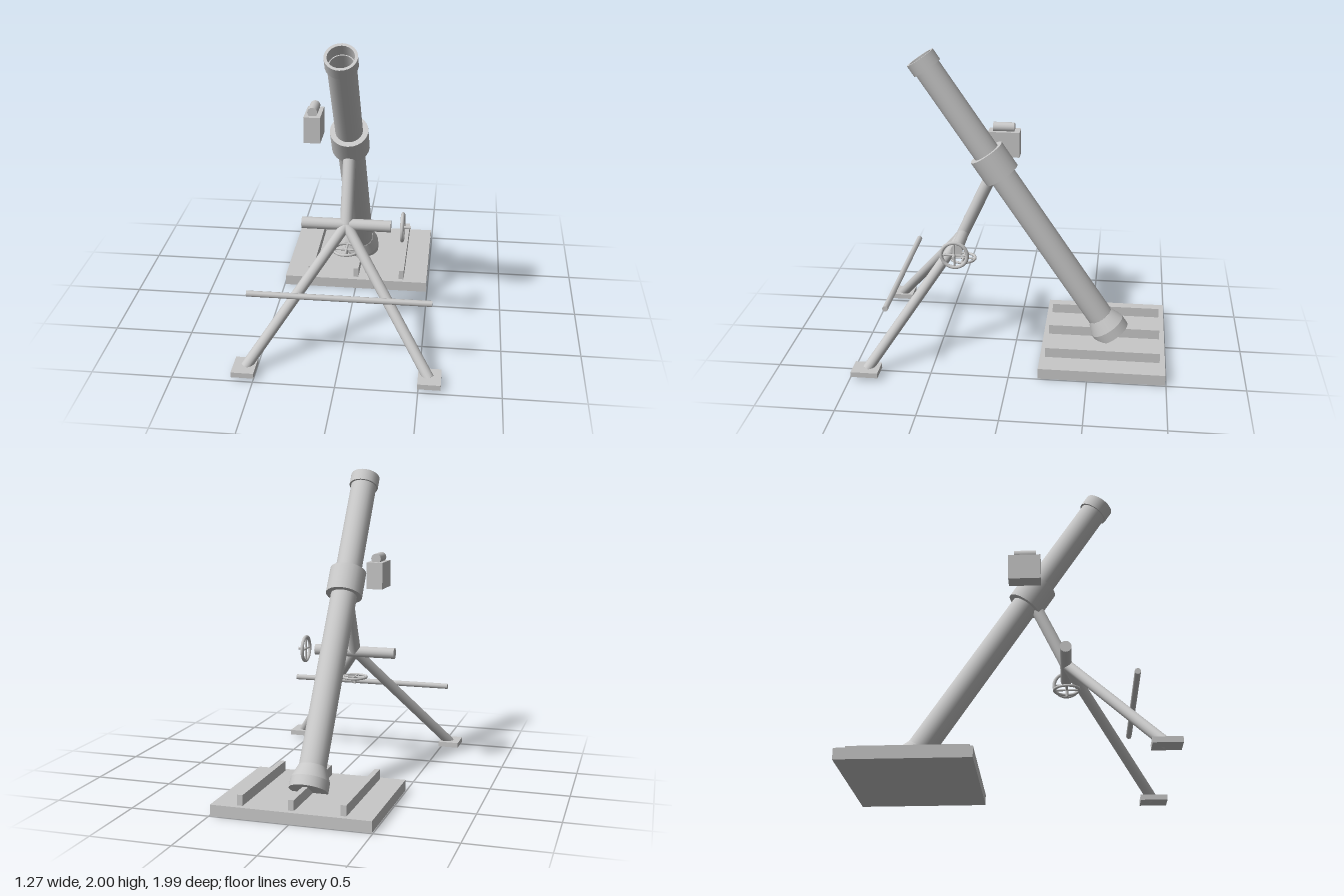
import * as THREE from 'three';

export function createModel() {
  const model = new THREE.Group();
  model.name = 'mortar';
  const steel = new THREE.MeshStandardMaterial({ color: 0xc8c8c8 });
  steel.name = 'light grey steel';

  const add = (name, geometry, x = 0, y = 0, z = 0, parent = model) => {
    const mesh = new THREE.Mesh(geometry, steel);
    mesh.name = name;
    mesh.position.set(x, y, z);
    parent.add(mesh);
    return mesh;
  };
  const box = (name, w, h, d, x, y, z) => add(name, new THREE.BoxGeometry(w, h, d), x, y, z);

  // Round bar between two points
  const UP = new THREE.Vector3(0, 1, 0);
  const rod = (name, from, to, radius, sides = 16, parent = model) => {
    const a = new THREE.Vector3(...from), b = new THREE.Vector3(...to);
    const dir = b.clone().sub(a);
    const mesh = add(name, new THREE.CylinderGeometry(radius, radius, dir.length(), sides), 0, 0, 0, parent);
    mesh.position.copy(a).lerp(b, 0.5);
    mesh.quaternion.setFromUnitVectors(UP, dir.normalize());
    return mesh;
  };

  // Base plate with three ribs
  box('basePlate', 0.986, 0.07, 0.806, 0, 0.035, -0.591);
  for (const x of [-0.317, 0, 0.317]) box('baseRib', 0.034, 0.065, 0.737, x, 0.1025, -0.591);

  // Barrel group: local y runs along the bore, from breech to muzzle
  const barrel = new THREE.Group();
  barrel.name = 'barrelAssembly';
  barrel.position.set(0, 0.098, -0.643);
  barrel.rotation.x = THREE.MathUtils.degToRad(34);
  model.add(barrel);
  const LENGTH = 2.232;

  // Each straight run is its own lathe, so that edges stay sharp
  const turned = (name, points) => {
    const part = new THREE.Group();
    part.name = name;
    for (let i = 0; i < points.length - 1; i++) {
      const run = [points[i], points[i + 1]].map(([r, y]) => new THREE.Vector2(r, y));
      add(name + 'Face', new THREE.LatheGeometry(run, 24), 0, 0, 0, part);
    }
    barrel.add(part);
  };
  turned('breech', [[0, -0.005], [0.122, -0.005], [0.122, 0.06], [0.088, 0.145], [0, 0.145]]);
  turned('barrelTube', [[0.086, 0.1], [0.086, LENGTH - 0.07]]);
  turned('muzzleRing', [
    [0.08, LENGTH - 0.08], [0.098, LENGTH - 0.08], [0.098, LENGTH], [0.08, LENGTH], [0.08, LENGTH - 0.08],
    [0.074, LENGTH - 0.08], [0.074, 0.3], [0, 0.3],
  ]);
  add('collar', new THREE.CylinderGeometry(0.12, 0.12, 0.18, 24), 0, 1.408, 0, barrel);

  // Bipod: strut, traverse tube, legs and feet
  const hub = [0, 0.772, 0.356];
  rod('supportStrut', hub, [0, 1.2, 0.157], 0.04);
  rod('traverseTube', [-0.28, 0.772, 0.354], [0.28, 0.772, 0.354], 0.037);
  for (const side of [-1, 1]) {
    rod('leg', hub, [side * 0.56, 0.04, 0.9], 0.034);
    box('foot', 0.14, 0.034, 0.172, side * 0.565, 0.037, 0.905);
  }
  rod('legCrossbar', [-0.565, 0.478, 0.765], [0.563, 0.478, 0.765], 0.019, 8);

  // Handwheel in its local xy plane, with the shaft along local +z
  const handwheel = (name, ring, tube, shaft) => {
    const wheel = new THREE.Group();
    wheel.name = name;
    add(name + 'Rim', new THREE.TorusGeometry(ring, tube, 8, 28), 0, 0, 0, wheel);
    rod(name + 'Spoke', [-ring, 0, 0], [ring, 0, 0], 0.007, 8, wheel);
    rod(name + 'Spoke', [0, -ring, 0], [0, ring, 0], 0.007, 8, wheel);
    rod(name + 'Shaft', [0, 0, -0.005], [0, 0, shaft], 0.01, 8, wheel);
    model.add(wheel);
    return wheel;
  };
  const traverseWheel = handwheel('traverseWheel', 0.083, 0.012, 0.053);
  traverseWheel.position.set(0.353, 0.772, 0.356);
  traverseWheel.rotation.y = Math.PI / 2;
  const elevationWheel = handwheel('elevationWheel', 0.08, 0.009, 0.045);
  elevationWheel.position.set(0, 0.595, 0.356);
  elevationWheel.rotation.x = Math.PI / 2;

  // Sight box with its scope
  box('sightBox', 0.104, 0.17, 0.207, -0.231, 1.335, 0.104);
  rod('sightScope', [-0.231, 1.442, 0.037], [-0.231, 1.442, 0.177], 0.032);

  return model;
}
